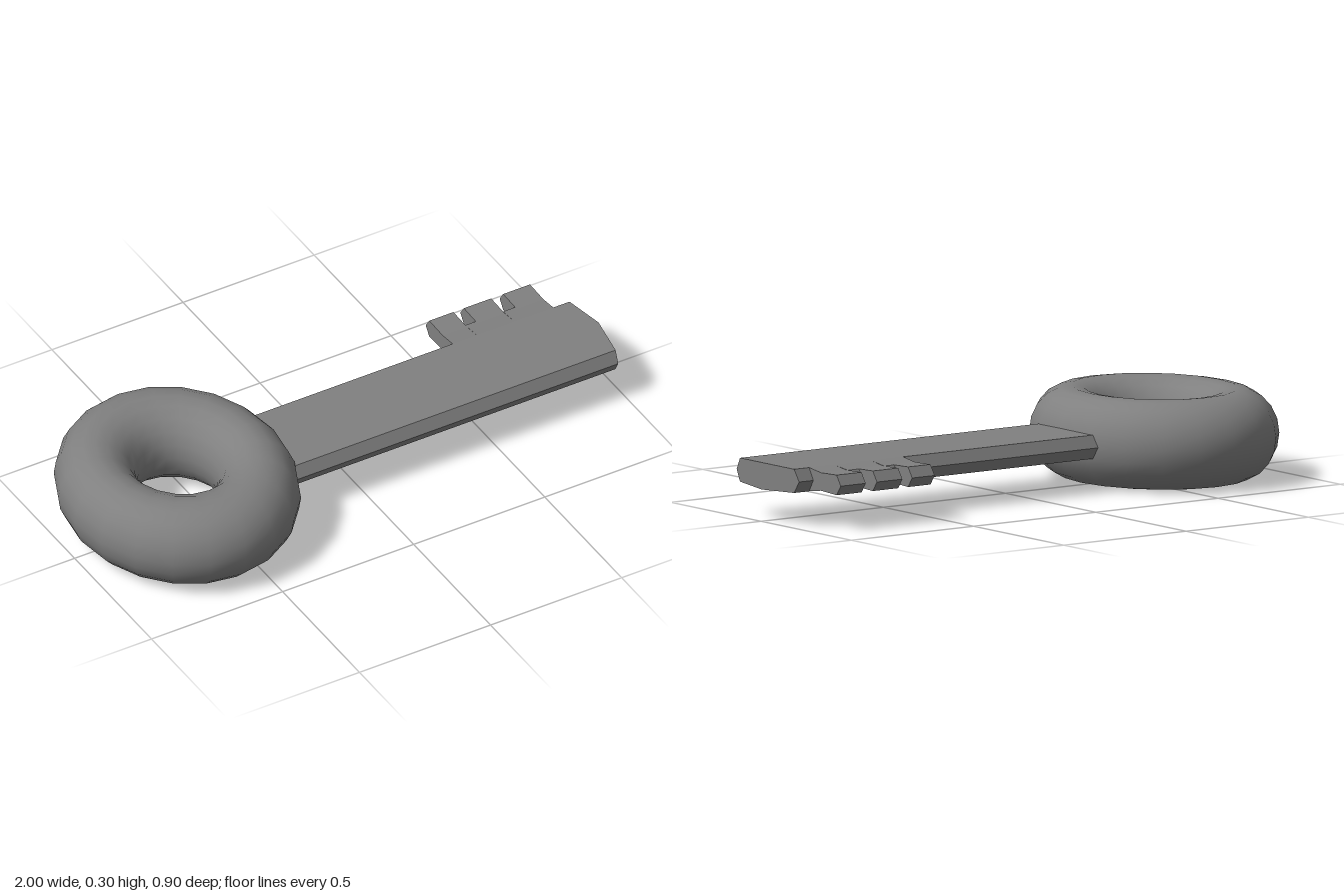
import * as THREE from 'three';

const material = new THREE.MeshStandardMaterial({ color: 0x808080 });

// Flat-sided bar along x. The profile holds [z, y] corners, counter-clockwise seen from +x.
// tipSetback(z) pulls the +x end back to shape the tip.
function bar(name, profile, x0, x1, tipSetback = () => 0) {
  const positions = [];
  const back = profile.map(([z, y]) => [x0, y, z]);
  const front = profile.map(([z, y]) => [x1 - tipSetback(z), y, z]);
  const n = profile.length;
  for (let i = 0; i < n; i++) {
    const j = (i + 1) % n;
    positions.push(...back[i], ...back[j], ...front[j], ...back[i], ...front[j], ...front[i]);
  }
  for (let i = 1; i < n - 1; i++) {
    positions.push(...front[0], ...front[i], ...front[i + 1]);
    positions.push(...back[0], ...back[i + 1], ...back[i]);
  }
  const geometry = new THREE.BufferGeometry();
  geometry.setAttribute('position', new THREE.Float32BufferAttribute(positions, 3));
  geometry.computeVertexNormals();
  const mesh = new THREE.Mesh(geometry, material);
  mesh.name = name;
  return mesh;
}

export function createModel() {
  const key = new THREE.Group();
  key.name = 'key';

  // Ring handle, slightly narrowed along the key
  const ringGeometry = new THREE.TorusGeometry(0.298, 0.15, 20, 20);
  ringGeometry.rotateX(Math.PI / 2);
  ringGeometry.scale(0.875, 1, 1);
  const ring = new THREE.Mesh(ringGeometry, material);
  ring.name = 'ringHandle';
  ring.position.set(-0.608, 0.15, 0);
  key.add(ring);

  // Blade with a shallow ridge, bevelled edges and a blunt pointed tip
  const bladeProfile = [
    [0, 0.196], [0.15, 0.19], [0.173, 0.15], [0.15, 0.111],
    [0, 0.106], [-0.15, 0.111], [-0.173, 0.15], [-0.15, 0.19],
  ];
  key.add(bar('blade', bladeProfile, -0.35, 0.998, (z) => 0.15 * Math.abs(z)));

  // Teeth on the back edge, joined by shorter bridges
  const toothProfile = [
    [-0.325, 0.15], [-0.302, 0.184], [-0.215, 0.181], [-0.15, 0.19],
    [-0.15, 0.111], [-0.215, 0.121], [-0.302, 0.117],
  ];
  const bridgeProfile = [
    [-0.247, 0.15], [-0.225, 0.181], [-0.15, 0.19], [-0.15, 0.111], [-0.225, 0.121],
  ];
  const teeth = new THREE.Group();
  teeth.name = 'teeth';
  for (const [x0, x1] of [[0.53, 0.622], [0.662, 0.766], [0.812, 0.914]]) {
    teeth.add(bar('tooth', toothProfile, x0, x1));
  }
  for (const [x0, x1] of [[0.622, 0.662], [0.766, 0.812]]) {
    teeth.add(bar('toothBridge', bridgeProfile, x0, x1));
  }
  key.add(teeth);

  return key;
}
